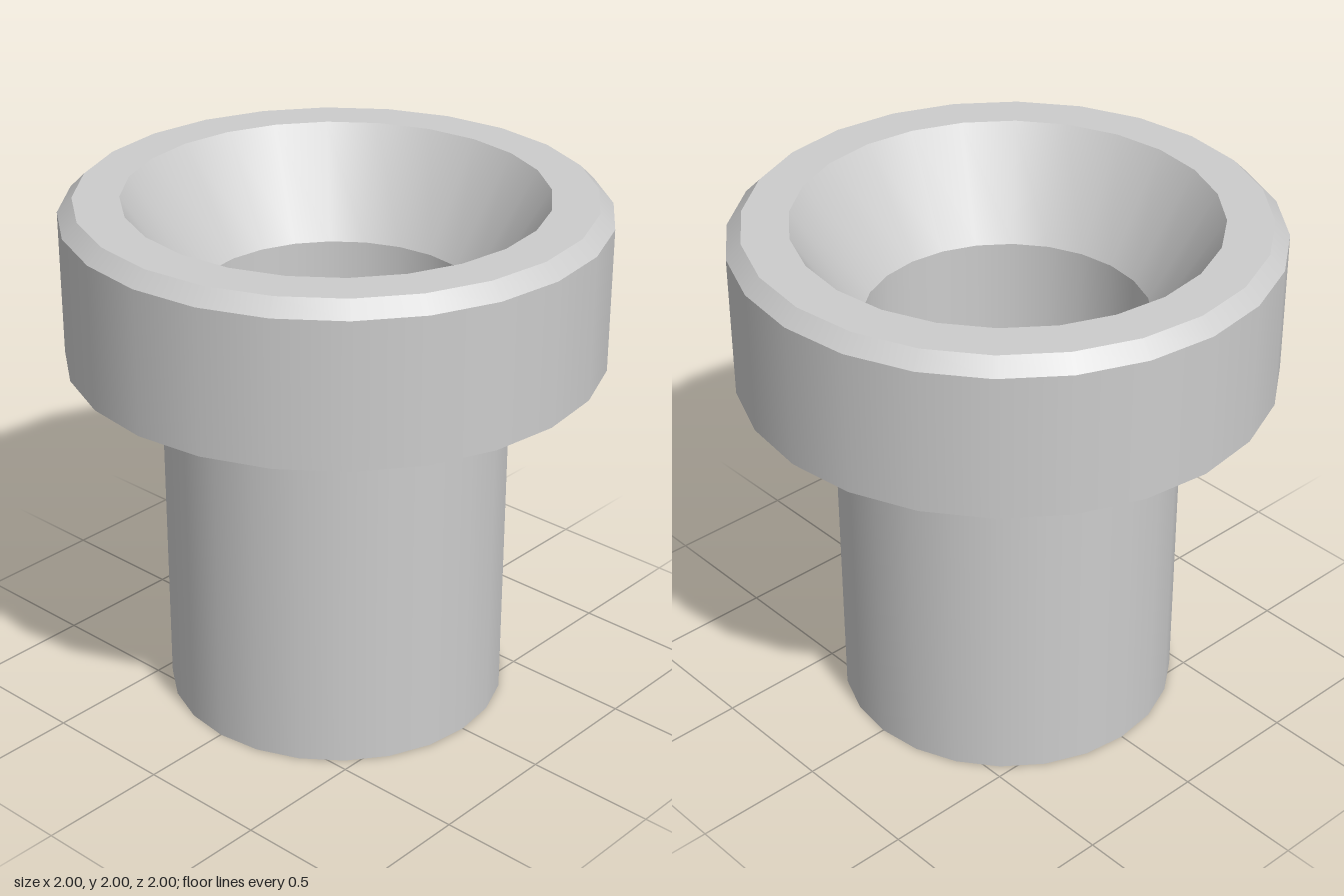
import * as THREE from 'three';

const SIDES = 24;

export function createModel() {
  const model = new THREE.Group();
  model.name = 'flangedBushing';
  const grey = new THREE.MeshStandardMaterial({ color: 0xcccccc });
  grey.name = 'plain grey';

  // One ring of faces between two [radius, height] points, smooth around, sharp at its rims
  function band(name, from, to) {
    const points = [new THREE.Vector2(...from), new THREE.Vector2(...to)];
    const mesh = new THREE.Mesh(new THREE.LatheGeometry(points, SIDES), grey);
    mesh.name = name;
    model.add(mesh);
  }

  // Closed section, anticlockwise: up the outside, down the bore
  const section = [
    ['stemWall', [0.65, 0]],
    ['collarUnderside', [0.65, 1.4]],
    ['collarWall', [1, 1.4]],
    ['collarChamfer', [1, 1.945]],
    ['collarTop', [0.945, 2]],
    ['funnel', [0.775, 2]],
    ['bore', [0.53, 1.6]],
    ['stemBottom', [0.53, 0]],
  ];
  section.forEach(([name, start], i) => {
    band(name, start, section[(i + 1) % section.length][1]);
  });

  return model;
}
